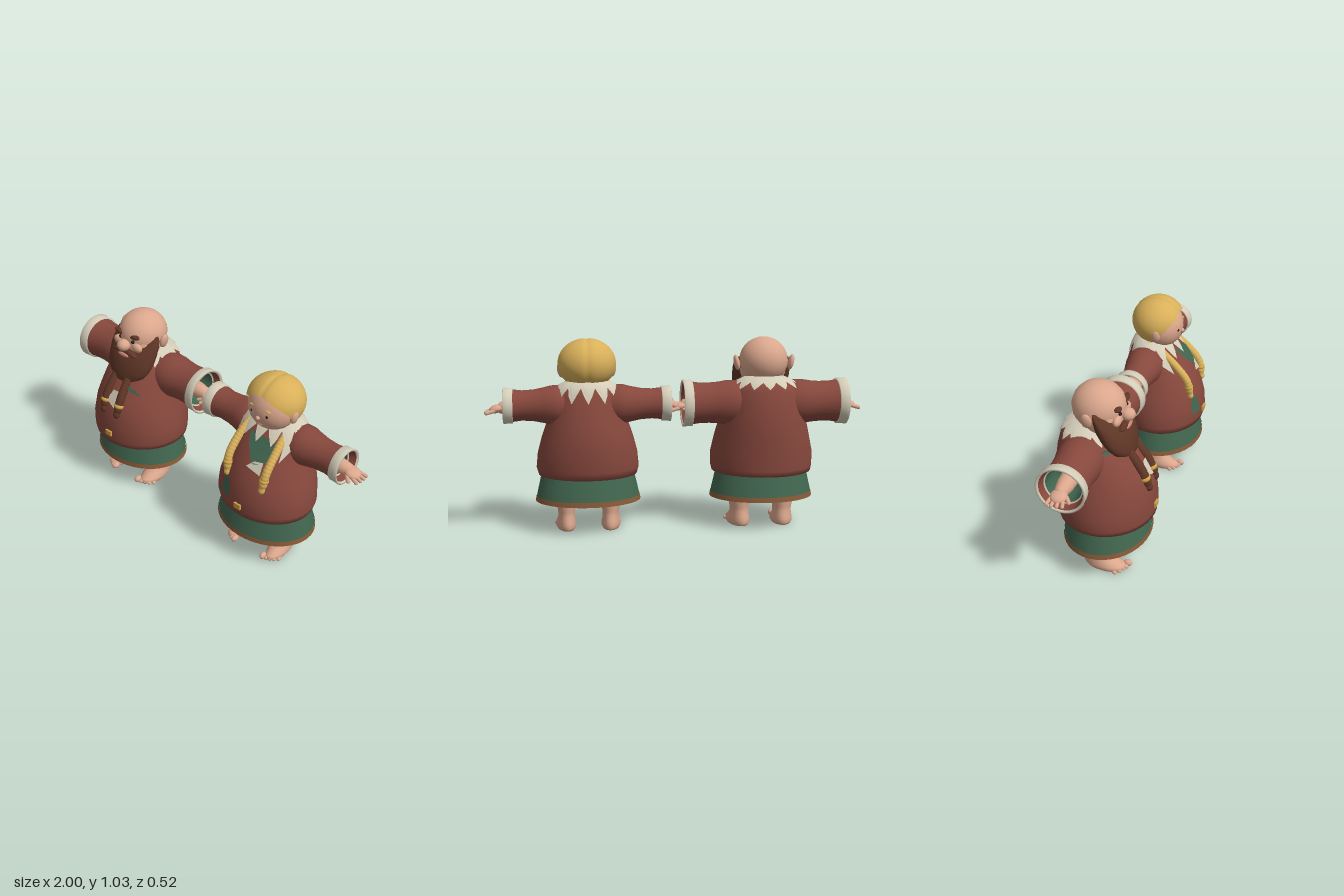
import * as THREE from 'three';
import { mergeVertices } from 'three/addons/utils/BufferGeometryUtils.js';

const paint = (name, color, side = THREE.FrontSide) => {
  const m = new THREE.MeshStandardMaterial({ color, side });
  m.name = name;
  return m;
};

export function createModel() {
  const DS = THREE.DoubleSide;
  const skin = paint('skin', 0xdba78d), red = paint('red cloth', 0x87483d, DS);
  const green = paint('green cloth', 0x41664f, DS), cream = paint('cream trim', 0xd3ccb8, DS);
  const brown = paint('brown hem', 0x875a38, DS), beardBrown = paint('beard brown', 0x5f3626);
  const blond = paint('blond', 0xd9b05a, DS), gold = paint('gold', 0xd2a648), dark = paint('dark eye', 0x33201a);
  const lip = paint('lip', 0xc98476);

  const add = (parent, name, geo, mat) => {
    const m = new THREE.Mesh(geo, mat);
    m.name = name;
    parent.add(m);
    return m;
  };
  const group = (parent, name) => {
    const g = new THREE.Group();
    g.name = name;
    parent.add(g);
    return g;
  };
  // Smooth surface from a rule (u, v) -> [x, y, z]
  const grid = (fn, nu, nv) => {
    const pos = [], idx = [], n = nu + 1;
    for (let j = 0; j <= nv; j++) for (let i = 0; i <= nu; i++) pos.push(...fn(i / nu, j / nv));
    for (let j = 0; j < nv; j++) for (let i = 0; i < nu; i++) {
      const a = j * n + i;
      idx.push(a, a + 1, a + n, a + 1, a + n + 1, a + n);
    }
    let g = new THREE.BufferGeometry();
    g.setAttribute('position', new THREE.Float32BufferAttribute(pos, 3));
    g.setIndex(idx);
    g = mergeVertices(g, 1e-5);
    g.computeVertexNormals();
    return g;
  };
  // Oval sections: rows of [y, half width, front z, back z]
  const section = ([y, w, f, b], a) => [w * Math.sin(a), y, (f + b) / 2 + (f - b) / 2 * Math.cos(a)];
  const rowAt = (rows, y) => {
    let i = 1;
    while (i < rows.length - 1 && rows[i][0] < y) i++;
    const p = rows[i - 1], q = rows[i], t = (y - p[0]) / (q[0] - p[0]);
    return p.map((v, k) => v + (q[k] - v) * t);
  };
  const loft = (rows, closed = true) => {
    const cap = (r) => [r[0], 0, (r[2] + r[3]) / 2, (r[2] + r[3]) / 2];
    const all = closed ? [cap(rows[0]), ...rows, cap(rows[rows.length - 1])] : rows;
    return grid((u, v) => section(all[Math.round(v * (all.length - 1))], u * 2 * Math.PI), 40, all.length - 1);
  };
  const ball = (parent, name, mat, p, r, rotZ = 0) => {
    const m = add(parent, name, new THREE.SphereGeometry(1, 20, 14), mat);
    m.position.set(...p);
    m.scale.set(...r);
    m.rotation.z = rotZ;
    return m;
  };
  // Thin cloth patch lying on the front of a torso
  const patch = (parent, name, mat, rows, pts, lift = 0.007) => {
    const g = new THREE.ShapeGeometry(new THREE.Shape(pts.map((p) => new THREE.Vector2(...p))));
    const pos = g.attributes.position;
    for (let i = 0; i < pos.count; i++) {
      const [, w, f, b] = rowAt(rows, pos.getY(i)), x = pos.getX(i) / w;
      pos.setZ(i, (f + b) / 2 + (f - b) / 2 * Math.sqrt(Math.max(0, 1 - x * x)) + lift);
    }
    g.computeVertexNormals();
    add(parent, name, g, mat);
  };
  // Soft plait of overlapping beads with a band near its tip
  const plait = (parent, name, mat, pts, n, r) => {
    const g = group(parent, name);
    const curve = new THREE.CatmullRomCurve3(pts.map((p) => new THREE.Vector3(...p)));
    for (let i = 0; i < n; i++) {
      const u = i / (n - 1), p = curve.getPointAt(u), t = curve.getTangentAt(u);
      const band = i === n - 4, s = i > n - 3 ? r * 0.8 : r;
      const b = ball(g, band ? 'plaitBand' : 'plaitBead', band ? gold : mat, p.toArray(), [s, s * (band ? 0.7 : 1.3), s]);
      if (band) b.scale.multiplyScalar(1.14);
      b.quaternion.setFromUnitVectors(new THREE.Vector3(0, 1, 0), t);
    }
  };
  const tubeX = (pts) => new THREE.LatheGeometry(pts.map(([x, r]) => new THREE.Vector2(r, x)), 32).rotateZ(-Math.PI / 2);

  // Arm along +x: sleeve, turned cuff, lining and hand
  const arm = (parent, o, side) => {
    const a = group(parent, side > 0 ? 'leftArm' : 'rightArm');
    a.position.set(0, 0.68, o.armZ);
    a.scale.x = side;
    const r = o.cuffR, c = o.cuffX, h = o.handX;
    add(a, 'sleeve', tubeX(o.sleeve), red);
    add(a, 'cuff', tubeX([[c - 0.05, r - 0.01], [c - 0.048, r], [c - 0.02, r], [c, r + 0.003], [c + 0.002, r - 0.006], [c - 0.006, r - 0.011]]), cream);
    add(a, 'cuffLining', tubeX([[c - 0.006, r - 0.011], [c - 0.04, r - 0.024]]), red);
    add(a, 'innerTrim', tubeX([[c - 0.04, r - 0.024], [c - 0.044, r - 0.031]]), cream);
    add(a, 'sleeveLining', tubeX([[c - 0.044, r - 0.031], [c - 0.14, r - 0.042], [c - 0.15, 0.02]]), green);
    add(a, 'forearm', tubeX([[c - 0.18, 0.048], [c - 0.06, 0.042], [h + 0.005, 0.03], [h + 0.02, 0]]), skin).position.y = -0.01;
    ball(a, 'palm', skin, [h + 0.02, -0.015, 0], [0.042, 0.022, 0.042], -0.25);
    for (let i = 0; i < 4; i++) {
      const f = add(a, 'finger', new THREE.CapsuleGeometry(0.0095, 0.042, 4, 10), skin);
      f.position.set(h + 0.056 - Math.abs(i - 1.3) * 0.004, -0.028, -0.038 + i * 0.023);
      f.rotation.set(0, (1.3 - i) * 0.16, -Math.PI / 2 - 0.25, 'YXZ');
    }
    const thumb = add(a, 'thumb', new THREE.CapsuleGeometry(0.0105, 0.035, 4, 10), skin);
    thumb.position.set(h + 0.022, -0.025, 0.045);
    thumb.rotation.set(0, -0.7, -Math.PI / 2 - 0.3, 'YXZ');
  };
  // Leg with bare foot and toes
  const legRows = [[0, 0.052, 0.125, -0.085], [0.012, 0.06, 0.14, -0.092], [0.03, 0.06, 0.13, -0.092], [0.05, 0.054, 0.09, -0.088],
    [0.075, 0.05, 0.058, -0.08], [0.1, 0.052, 0.05, -0.078], [0.14, 0.062, 0.056, -0.085], [0.2, 0.07, 0.065, -0.09], [0.32, 0.08, 0.08, -0.1]];
  const leg = (parent, o, side) => {
    const l = group(parent, side > 0 ? 'leftLeg' : 'rightLeg');
    l.position.x = side * 0.12;
    l.scale.x = side * o.legW;
    l.rotation.y = side * 0.1;
    add(l, 'legAndFoot', loft(legRows), skin);
    for (let i = 0; i < 5; i++) {
      const s = i ? 0.0125 - i * 0.0006 : 0.018;
      ball(l, 'toe', skin, [-0.04 + i * 0.0215 + (i ? 0.004 : 0), s, 0.133 - i * i * 0.0022], [s, s, s * 1.3]);
    }
  };
  // Jacket, collar, skirt, limbs and neck shared by both figures
  const body = (parent, o) => {
    add(parent, 'jacket', loft(o.torso), red);
    const n = 56;
    add(parent, 'collar', grid((u, v) => {
      const k = Math.round(u * n) % n, ang = u * 2 * Math.PI, back = (1 - Math.cos(ang)) / 2;
      const zig = [1, 0.5, 0, 0.5][k % 4];
      const low = o.collarLow + (1 - zig) * o.collarTooth + back * o.collarRise * zig;
      const y = low + (o.collarTop - low) * v, p = section(rowAt(o.torso, y), ang);
      return [p[0] * 1.02 + 0.006 * Math.sin(ang), p[1] + 0.007, p[2] + 0.008 * Math.cos(ang)];
    }, n, 6), cream);
    add(parent, 'skirt', loft([[0.183, 0.275, 0.221, -0.221], [0.25, 0.26, 0.204, -0.204], [0.33, 0.242, 0.185, -0.185]], false), green);
    add(parent, 'skirtHem', loft([[0.16, 0.281, 0.226, -0.226], [0.186, 0.276, 0.222, -0.222]], false), brown);
    add(parent, 'neck', loft([[0.74, 0.075, 0.02, -0.12], [0.86, 0.065, 0.02, -0.11]]), skin);
    const b = add(parent, 'beltBuckle', new THREE.BoxGeometry(0.042, 0.03, 0.014), gold);
    b.position.set(0, 0.367, rowAt(o.torso, 0.367)[2] + 0.002);
    for (const s of [-1, 1]) { arm(parent, o, s); leg(parent, o, s); }
  };

  const root = new THREE.Group();
  root.name = 'couple';

  // Man
  const man = group(root, 'man');
  man.position.x = -0.477;
  const mt = [[0.3, 0.24, 0.19, -0.19], [0.302, 0.27, 0.25, -0.248], [0.33, 0.277, 0.253, -0.25], [0.4, 0.278, 0.252, -0.254], [0.5, 0.256, 0.24, -0.259],
    [0.58, 0.235, 0.208, -0.26], [0.68, 0.212, 0.145, -0.246], [0.75, 0.188, 0.085, -0.228], [0.785, 0.155, 0.045, -0.208], [0.81, 0.1, 0.005, -0.16], [0.82, 0.06, -0.02, -0.12]];
  body(man, { torso: mt, armZ: -0.073, cuffR: 0.123, cuffX: 0.44, handX: 0.436, legW: 1,
    sleeve: [[0.08, 0.1], [0.15, 0.119], [0.21, 0.118], [0.25, 0.111], [0.3, 0.107], [0.36, 0.109], [0.4, 0.115]],
    collarTop: 0.818, collarLow: 0.75, collarTooth: 0.04, collarRise: 0.005 });
  const mh = group(man, 'manHead');
  ball(mh, 'skull', skin, [0, 0.9, -0.038], [0.13, 0.126, 0.135]);
  ball(mh, 'face', skin, [0, 0.855, -0.01], [0.126, 0.11, 0.108]);
  add(mh, 'beard', loft([[0.655, 0.062, 0.147, 0.075], [0.675, 0.09, 0.152, 0.05], [0.7, 0.122, 0.151, 0.03], [0.73, 0.142, 0.146, 0.01], [0.77, 0.153, 0.135, -0.02],
    [0.82, 0.157, 0.114, -0.045], [0.865, 0.157, 0.075, -0.05], [0.9, 0.151, 0.03, -0.045], [0.918, 0.138, 0.005, -0.04]]), beardBrown);
  ball(mh, 'nose', skin, [0, 0.874, 0.11], [0.036, 0.033, 0.037]);
  ball(mh, 'mouth', lip, [0, 0.816, 0.117], [0.04, 0.011, 0.009]);
  for (const s of [-1, 1]) {
    ball(mh, 'moustache', beardBrown, [s * 0.045, 0.838, 0.103], [0.045, 0.013, 0.02], -s * 0.3);
    ball(mh, 'ear', skin, [s * 0.147, 0.89, -0.05], [0.016, 0.042, 0.028], -s * 0.2);
    ball(mh, 'eye', dark, [s * 0.047, 0.9, 0.085], [0.01, 0.011, 0.01]);
    ball(mh, 'eyebrow', beardBrown, [s * 0.058, 0.928, 0.08], [0.034, 0.013, 0.016], s * 0.2);
    ball(mh, 'cheek', skin, [s * 0.068, 0.868, 0.078], [0.036, 0.026, 0.02]);
    plait(mh, 'beardPlait', beardBrown, [[s * 0.045, 0.69, 0.125], [s * 0.052, 0.6, 0.192], [s * 0.05, 0.505, 0.232]], 14, 0.025);
  }
  patch(man, 'jacketPatch', green, mt, [[-0.185, 0.725], [-0.12, 0.718], [-0.09, 0.738], [-0.16, 0.742]], 0.018);
  patch(man, 'jacketPatch', green, mt, [[0.06, 0.64], [0.15, 0.615], [0.11, 0.645], [0.07, 0.66]]);
  patch(man, 'shirtPatch', cream, mt, [[-0.04, 0.56], [0.03, 0.53], [0.025, 0.62], [-0.01, 0.62]]);

  // Woman
  const woman = group(root, 'woman');
  woman.position.x = 0.465;
  const wt = [[0.3, 0.24, 0.185, -0.19], [0.302, 0.262, 0.228, -0.225], [0.34, 0.273, 0.237, -0.235], [0.42, 0.265, 0.234, -0.241], [0.5, 0.244, 0.215, -0.24],
    [0.58, 0.217, 0.183, -0.226], [0.66, 0.197, 0.135, -0.203], [0.73, 0.178, 0.085, -0.182], [0.775, 0.15, 0.045, -0.163], [0.8, 0.1, 0.01, -0.13], [0.81, 0.06, -0.01, -0.11]];
  body(woman, { torso: wt, armZ: -0.062, cuffR: 0.093, cuffX: 0.437, handX: 0.452, legW: 0.87,
    sleeve: [[0.08, 0.085], [0.15, 0.104], [0.19, 0.103], [0.23, 0.093], [0.28, 0.083], [0.34, 0.079], [0.4, 0.086]],
    collarTop: 0.808, collarLow: 0.7, collarTooth: 0.07, collarRise: -0.01 });
  patch(woman, 'shirtFront', green, wt, [[-0.055, 0.74], [-0.03, 0.69], [0.01, 0.64], [0.03, 0.615], [0.09, 0.63], [0.1, 0.67], [0.11, 0.71], [0.06, 0.735], [0, 0.745]], 0.014);
  patch(woman, 'shirtPatch', cream, wt, [[0.005, 0.6], [0.09, 0.575], [0.085, 0.635], [0.04, 0.632]], 0.015);
  for (const s of [-1, 1]) patch(woman, 'collarShard', cream, wt, [[s * 0.168, 0.69], [s * 0.145, 0.64], [s * 0.135, 0.73], [s * 0.155, 0.72]].slice()[s > 0 ? 'slice' : 'reverse'](), 0.012);
  patch(woman, 'jacketPatch', green, wt, [[-0.135, 0.39], [-0.06, 0.385], [-0.075, 0.49], [-0.12, 0.48]]);
  patch(woman, 'jacketPatch', brown, wt, [[-0.19, 0.36], [-0.09, 0.355], [-0.13, 0.375]]);
  const wh = group(woman, 'womanHead');
  ball(wh, 'face', skin, [0, 0.865, -0.012], [0.132, 0.126, 0.114]);
  ball(wh, 'nose', skin, [0, 0.845, 0.1], [0.012, 0.012, 0.014]);
  ball(wh, 'mouth', lip, [0, 0.803, 0.085], [0.018, 0.005, 0.006]);

  // Hair cap: the hairline drops from the forehead to behind the ears
  const hairline = [[0, 57], [20, 65], [40, 77], [60, 93], [80, 122], [100, 142], [180, 150]];
  add(wh, 'hair', grid((u, v) => {
    const a = (u - 0.5) * 2 * Math.PI, th = rowAt(hairline, Math.abs(a) * 180 / Math.PI)[1] * (1 - v) * Math.PI / 180;
    const x = Math.sin(th) * Math.sin(a), k = 1 - 0.035 * Math.exp(-((x / 0.09) ** 2));
    return [0.153 * x, 0.893 + 0.133 * k * Math.cos(th), -0.038 + 0.144 * k * Math.sin(th) * Math.cos(a)];
  }, 72, 24), blond);
  for (const s of [-1, 1]) {
    ball(wh, 'ear', skin, [s * 0.137, 0.858, -0.012], [0.018, 0.04, 0.026], -s * 0.15);
    ball(wh, 'eye', dark, [s * 0.047, 0.866, 0.089], [0.008, 0.009, 0.008]);
    ball(wh, 'eyebrow', blond, [s * 0.05, 0.898, 0.087], [0.018, 0.004, 0.007], -s * 0.15);
    plait(wh, 'hairPlait', blond, [[s * 0.1, 0.79, -0.05], [s * 0.108, 0.755, 0.005], [s * 0.118, 0.7, 0.08], [s * 0.122, 0.6, 0.168], [s * 0.115, 0.505, 0.19]], 22, 0.022);
  }
  return root;
}
